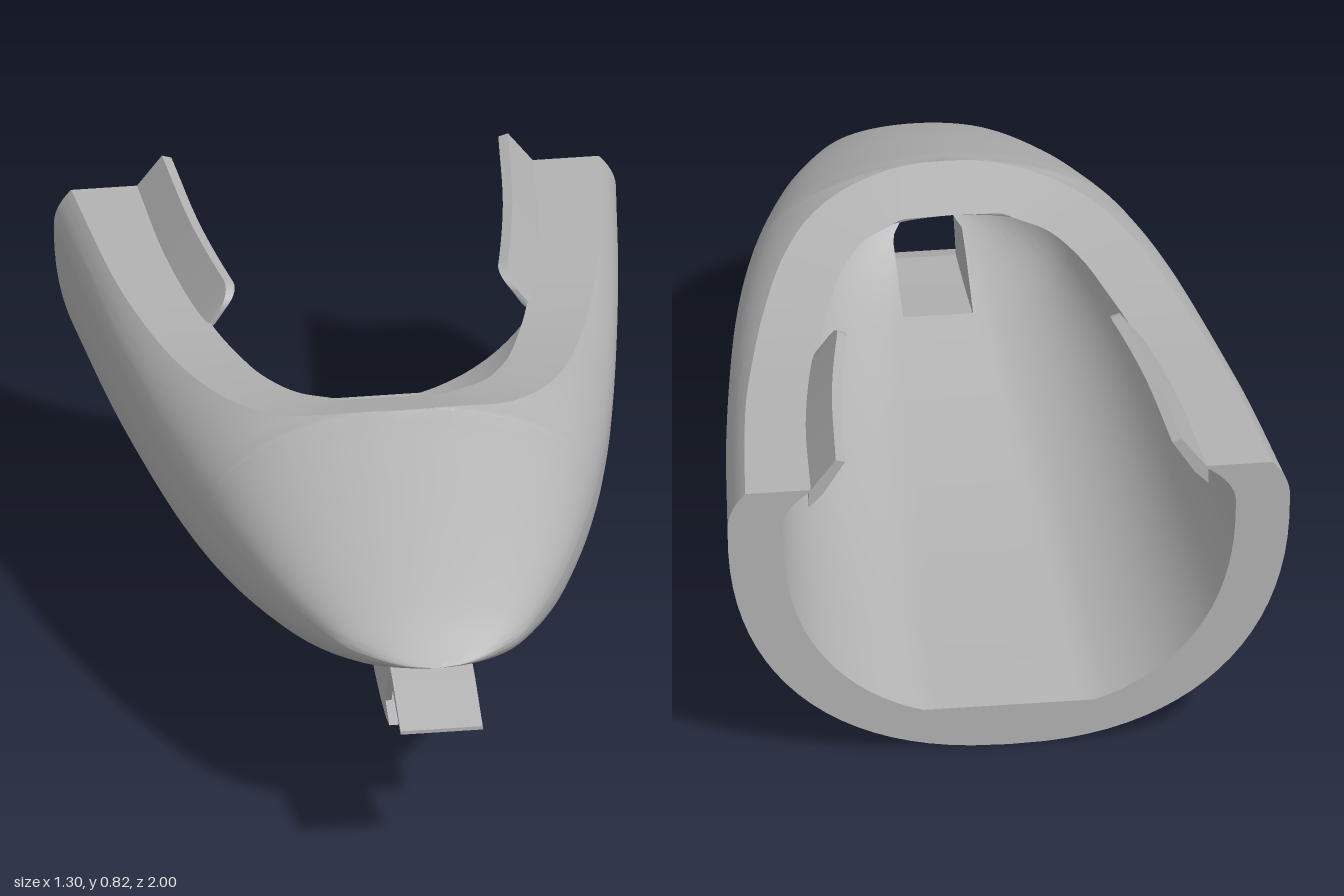
import * as THREE from 'three';
import { toCreasedNormals } from 'three/addons/utils/BufferGeometryUtils.js';

const grey = new THREE.MeshStandardMaterial({ color: 0xb2b2b2, side: THREE.DoubleSide });
grey.name = 'plain grey';

// Smooth curve through [z, value] pairs, listed from bow to stern
const curvePoints = (pairs, n) =>
  new THREE.CatmullRomCurve3(pairs.map(([z, v]) => new THREE.Vector3(z, v, 0))).getPoints(n);

// Turns such a curve into a lookup value(z)
function profile(pairs) {
  const p = curvePoints(pairs, 240);
  return (z) => {
    if (z >= p[0].x) return p[0].y;
    for (let i = 1; i < p.length; i++) {
      if (z >= p[i].x) {
        const t = (p[i - 1].x - z) / Math.max(p[i - 1].x - p[i].x, 1e-9);
        return p[i - 1].y + (p[i].y - p[i - 1].y) * t;
      }
    }
    return p[p.length - 1].y;
  };
}

// Lofts rows of points on the +x side and mirrors them to -x
function mirroredLoft(name, rows, { flip = false, skip = () => false, crease = 0.6 } = {}) {
  const pos = [];
  for (const s of [1, -1]) {
    for (let i = 0; i + 1 < rows.length; i++) {
      for (let j = 0; j + 1 < rows[i].length; j++) {
        if (skip(rows, i, j)) continue;
        const [a, b, c, d] = [rows[i][j], rows[i][j + 1], rows[i + 1][j + 1], rows[i + 1][j]];
        const order = (s > 0) !== flip ? [a, b, c, a, c, d] : [a, c, b, a, d, c];
        for (const v of order) pos.push(v.x * s, v.y, v.z);
      }
    }
  }
  const geo = new THREE.BufferGeometry();
  geo.setAttribute('position', new THREE.Float32BufferAttribute(pos, 3));
  const mesh = new THREE.Mesh(toCreasedNormals(geo, crease), grey);
  mesh.name = name;
  return mesh;
}

// Extrudes a side outline of [z, y] points across x
function sidePlate(name, outline, width, x) {
  const shape = new THREE.Shape(outline.map(([z, y]) => new THREE.Vector2(z, y)));
  const geo = new THREE.ExtrudeGeometry(shape, { depth: width, bevelEnabled: false });
  geo.rotateY(-Math.PI / 2).translate(x + width / 2, 0, 0);
  const mesh = new THREE.Mesh(geo, grey);
  mesh.name = name;
  return mesh;
}

// Outer hull lines
const beam = profile([[0.917, 0], [0.91, 0.05], [0.885, 0.11], [0.84, 0.17], [0.8, 0.21], [0.6, 0.32],
  [0.4, 0.398], [0.2, 0.46], [0, 0.508], [-0.2, 0.545], [-0.6, 0.605], [-1, 0.65]]);
const chine = profile([[0.917, 0.525], [0.5, 0.557], [0, 0.585], [-0.5, 0.604], [-1, 0.62]]);
const keel = profile([[0.917, 0.525], [0.8, 0.46], [0.6, 0.358], [0.4, 0.28], [0.2, 0.212], [0, 0.157],
  [-0.2, 0.112], [-0.4, 0.075], [-0.6, 0.045], [-0.8, 0.02], [-1, 0]]);
const sheer = profile([[0.917, 0.525], [0.8, 0.602], [0.6, 0.695], [0.4, 0.772], [0.27, 0.818], [0.255, 0.82],
  [0.2, 0.79], [0.1, 0.764], [0, 0.745], [-0.2, 0.718], [-0.4, 0.705], [-0.7, 0.704], [-1, 0.708]]);

// Plan curves of the opening
const outerRim = [[0.255, 0], [0.252, 0.06], [0.235, 0.15], [0.195, 0.25], [0.12, 0.33], [0, 0.4],
  [-0.2, 0.47], [-0.4, 0.52], [-0.6, 0.56], [-1, 0.61]];
const innerRim = [[0.102, 0], [0.1, 0.06], [0.097, 0.115], [0.075, 0.15], [0.03, 0.215], [-0.08, 0.28],
  [-0.2, 0.32], [-0.37, 0.365], [-0.68, 0.42], [-1, 0.45]];
const outerRimX = profile(outerRim);
const innerRimX = profile(innerRim);

// Cavity lines
const innerBeam = profile([[0.6, 0], [0.59, 0.06], [0.55, 0.14], [0.5, 0.2], [0.4, 0.28], [0.2, 0.345],
  [0, 0.395], [-0.4, 0.46], [-1, 0.525]]);
const floor = profile([[0.6, 0.545], [0.55, 0.475], [0.4, 0.385], [0.2, 0.312], [0, 0.257], [-0.4, 0.175], [-1, 0.105]]);
const ceiling = profile([[0.6, 0.56], [0.55, 0.62], [0.4, 0.695], [0.2, 0.745], [0.102, 0.764]]);

const DUCT = 0.085;

// Half section above the widest line, from rim down
function upperSection(z, w, yc, rimX, rimY) {
  const end = Math.acos(Math.min(rimX / Math.max(w, 1e-6), 0.99));
  return Array.from({ length: 15 }, (_, j) => {
    const a = end * (1 - j / 14);
    return new THREE.Vector3(w * Math.cos(a), yc + (rimY - yc) * Math.sin(a) / Math.sin(end), z);
  });
}

// Half section below the widest line; the last column pair is the centre strip
function lowerSection(z, w, yc, bottom, n, fullness = 1) {
  const xc = Math.min(DUCT, w * 0.5);
  const end = Math.acos(Math.pow(xc / Math.max(w, 1e-6), n / 2));
  const row = Array.from({ length: 22 }, (_, j) => {
    const a = end * j / 21;
    const d = Math.min(1, fullness * Math.pow(Math.sin(a), 2 / n));
    return new THREE.Vector3(w * Math.pow(Math.cos(a), 2 / n), yc - (yc - bottom) * d, z);
  });
  row.push(new THREE.Vector3(0, bottom, z));
  return row;
}

// Omits the centre strip between two stations for the duct
const ductHole = (from, to) => (rows, i, j) => {
  const z = (rows[i][0].z + rows[i + 1][0].z) / 2;
  return j === rows[i].length - 2 && z < from && z > to;
};

const descending = (list) => list.sort((a, b) => b - a);

export function createModel() {
  const model = new THREE.Group();

  // Outer skin
  const bow = Array.from({ length: 26 }, (_, i) => 0.917 - 0.662 * Math.pow(i / 26, 1.8));
  const outerZ = descending([...bow, 0.78, 0.42, ...curvePoints(outerRim, 44).map((p) => p.x)]);
  const outerTop = outerZ.map((z) => upperSection(z, beam(z), chine(z), outerRimX(z), sheer(z)));
  const outerLow = outerZ.map((z) => lowerSection(z, beam(z), chine(z), keel(z), 2.3));
  model.add(mirroredLoft('foredeck and topsides', outerTop));
  model.add(mirroredLoft('lower hull', outerLow, { skip: ductHole(0.78, 0.42) }));

  // Hollow interior
  const fore = Array.from({ length: 18 }, (_, i) => 0.6 - 0.498 * Math.pow(i / 18, 1.6));
  const innerZ = descending([...fore, 0.58, 0.34, ...curvePoints(innerRim, 44).map((p) => p.x)]);
  const innerTop = innerZ.map((z) => upperSection(z, innerBeam(z), chine(z) - 0.01, innerRimX(z),
    z > 0.102 ? ceiling(z) : sheer(z)));
  const innerLow = innerZ.map((z) => lowerSection(z, innerBeam(z), chine(z) - 0.01, floor(z), 2.3, 1.05));
  model.add(mirroredLoft('upper inner wall', innerTop, { flip: true }));
  model.add(mirroredLoft('inner floor', innerLow, { flip: true, skip: ductHole(0.58, 0.34) }));

  // Rim between the two skins
  const inner = curvePoints(innerRim, 60);
  const rim = curvePoints(outerRim, 60).map((p, i) =>
    [p, inner[i]].map((q) => new THREE.Vector3(q.y, sheer(q.x), q.x)));
  model.add(mirroredLoft('opening rim', rim, { flip: true }));

  // Flat stern edge
  const last = (rows) => rows[rows.length - 1];
  model.add(mirroredLoft('stern edge', [
    [...last(outerTop), ...last(outerLow)],
    [...last(innerTop), ...last(innerLow)],
  ]));

  // Inward-leaning side rails with rounded front ends
  const railSection = [[0.012, -0.005], [-0.05, 0.077], [-0.072, 0.07], [-0.02, -0.012], [0.012, -0.045], [0.012, -0.005]];
  const rails = Array.from({ length: 33 }, (_, i) => {
    const z = -0.375 - 0.625 * Math.pow(i / 32, 1.7);
    const t = Math.min(1, (-0.375 - z) / 0.06);
    const h = 0.35 + 0.65 * Math.sqrt(1 - (1 - t) ** 2);
    return railSection.map(([dx, dy]) =>
      new THREE.Vector3(innerRimX(z) + dx * h, 0.707 + dy * h, z));
  });
  const capRow = (row) => {
    const c = row.slice(1).reduce((s, v) => s.add(v), new THREE.Vector3()).divideScalar(row.length - 1);
    return row.map(() => c);
  };
  model.add(mirroredLoft('side rail', [capRow(rails[0]), ...rails, capRow(last(rails))], { flip: true }));

  // Duct scoop under the bow
  const scoop = new THREE.Group();
  scoop.name = 'bow scoop';
  const cheek = [[0.78, 0.458], [0.69, 0.31], [0.76, 0.285], [0.7, 0.27], [0.6, 0.263], [0.5, 0.267],
    [0.41, 0.279], [0.34, 0.34], [0.5, 0.425], [0.72, 0.5]];
  for (const x of [-0.088, 0.088]) scoop.add(sidePlate('scoop cheek', cheek, 0.014, x));
  scoop.add(sidePlate('scoop lip', [[0.76, 0.285], [0.69, 0.31], [0.55, 0.32], [0.34, 0.345], [0.41, 0.279],
    [0.5, 0.267], [0.6, 0.263], [0.7, 0.27]], 0.17, 0));
  scoop.add(sidePlate('scoop visor', [[1, 0.403], [1, 0.412], [0.86, 0.458], [0.77, 0.478], [0.77, 0.447], [0.8, 0.447]], 0.19, -0.004));
  model.add(scoop);

  return model;
}
